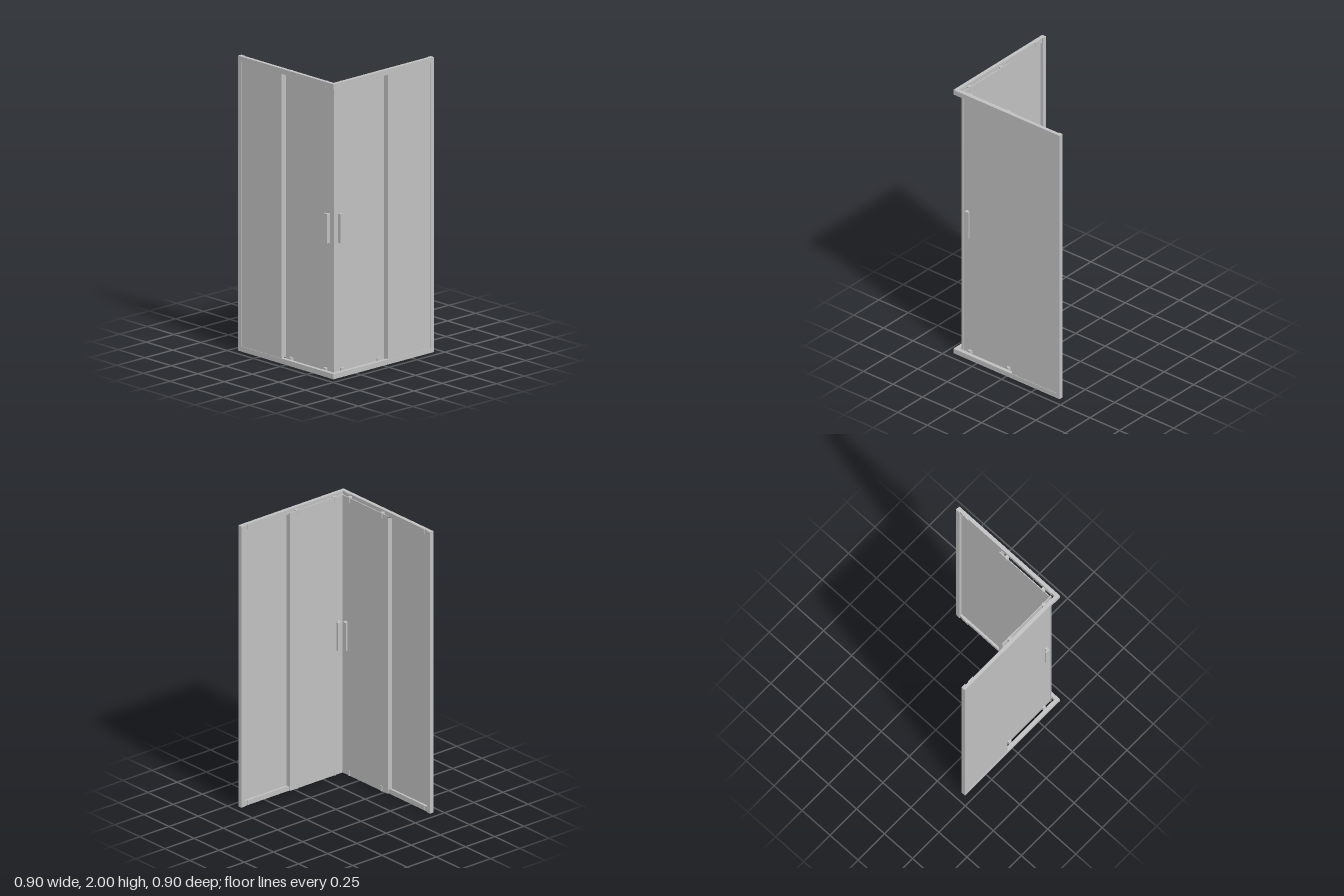
import * as THREE from 'three';

const grey = new THREE.MeshStandardMaterial({ color: 0xc0c0c0 });
grey.name = 'satin grey';

function add(group, name, geometry) {
  const mesh = new THREE.Mesh(geometry, grey);
  mesh.name = name;
  group.add(mesh);
  return mesh;
}

// Box given by its limits on each axis
function box(group, name, x0, x1, y0, y1, z0, z1) {
  const mesh = add(group, name, new THREE.BoxGeometry(x1 - x0, y1 - y0, z1 - z0));
  mesh.position.set((x0 + x1) / 2, (y0 + y1) / 2, (z0 + z1) / 2);
  return mesh;
}

// L-shaped handle, standing off the glass by a stem; side is +1 outside, -1 inside
function handle(group, name, side) {
  const points = [[-0.37, 0], [-0.353, 0], [-0.353, 0.018], [-0.338, 0.016],
    [-0.338, 0.028], [-0.37, 0.028]];
  const shape = new THREE.Shape(points.map(([x, d]) => new THREE.Vector2(x, -(0.404 + side * d))));
  const geometry = new THREE.ExtrudeGeometry(shape, { depth: 0.2, bevelEnabled: false });
  geometry.rotateX(-Math.PI / 2);
  add(group, name, geometry).position.y = 0.9;
}

// One side of the corner enclosure, running along x near z = 0.45
function createSide(name) {
  const side = new THREE.Group();
  side.name = name;

  // Fixed frame
  box(side, 'bottomRail', -0.45, 0.42, 0, 0.035, 0.425, 0.45);
  box(side, 'topRail', -0.45, 0.42, 1.965, 2, 0.425, 0.45);
  box(side, 'wallPost', 0.418, 0.45, 0, 2, 0.419, 0.45);

  // Fixed glass, set just behind the face of the frame
  box(side, 'fixedGlass', 0.043, 0.42, 0.03, 1.97, 0.44, 0.447);
  box(side, 'overlapSeal', 0.042, 0.046, 0.036, 1.964, 0.407, 0.445);

  // Sliding door on the inside of the rails
  box(side, 'slidingDoor', -0.41, 0.049, 0.01, 1.985, 0.401, 0.407);
  box(side, 'cornerSeal', -0.412, -0.402, 0.01, 1.985, 0.4, 0.411);

  // Rollers at the top and bottom of the door
  for (const x of [-0.337, -0.013]) {
    for (const y of [0.028, 1.97]) {
      const roller = add(side, 'roller', new THREE.CylinderGeometry(0.014, 0.014, 0.04, 8).rotateY(Math.PI / 8).toNonIndexed());
      roller.geometry.computeVertexNormals();
      roller.position.set(x, y, 0.411);
    }
  }

  // Door stops on the inner faces of the rails
  for (const [x0, x1] of [[-0.4, -0.352], [0.345, 0.392]]) {
    box(side, 'doorStop', x0, x1, 0.003, 0.034, 0.421, 0.426);
    box(side, 'doorStop', x0, x1, 1.966, 1.997, 0.421, 0.426);
  }

  handle(side, 'outerHandle', 1);
  handle(side, 'innerHandle', -1);
  return side;
}

export function createModel() {
  const model = new THREE.Group();
  model.name = 'cornerShowerEnclosure';
  model.add(createSide('frontSide'));

  // The second side mirrors the first across the corner diagonal
  const second = createSide('rightSide');
  second.scale.x = -1;
  second.rotation.y = -Math.PI / 2;
  model.add(second);
  return model;
}
